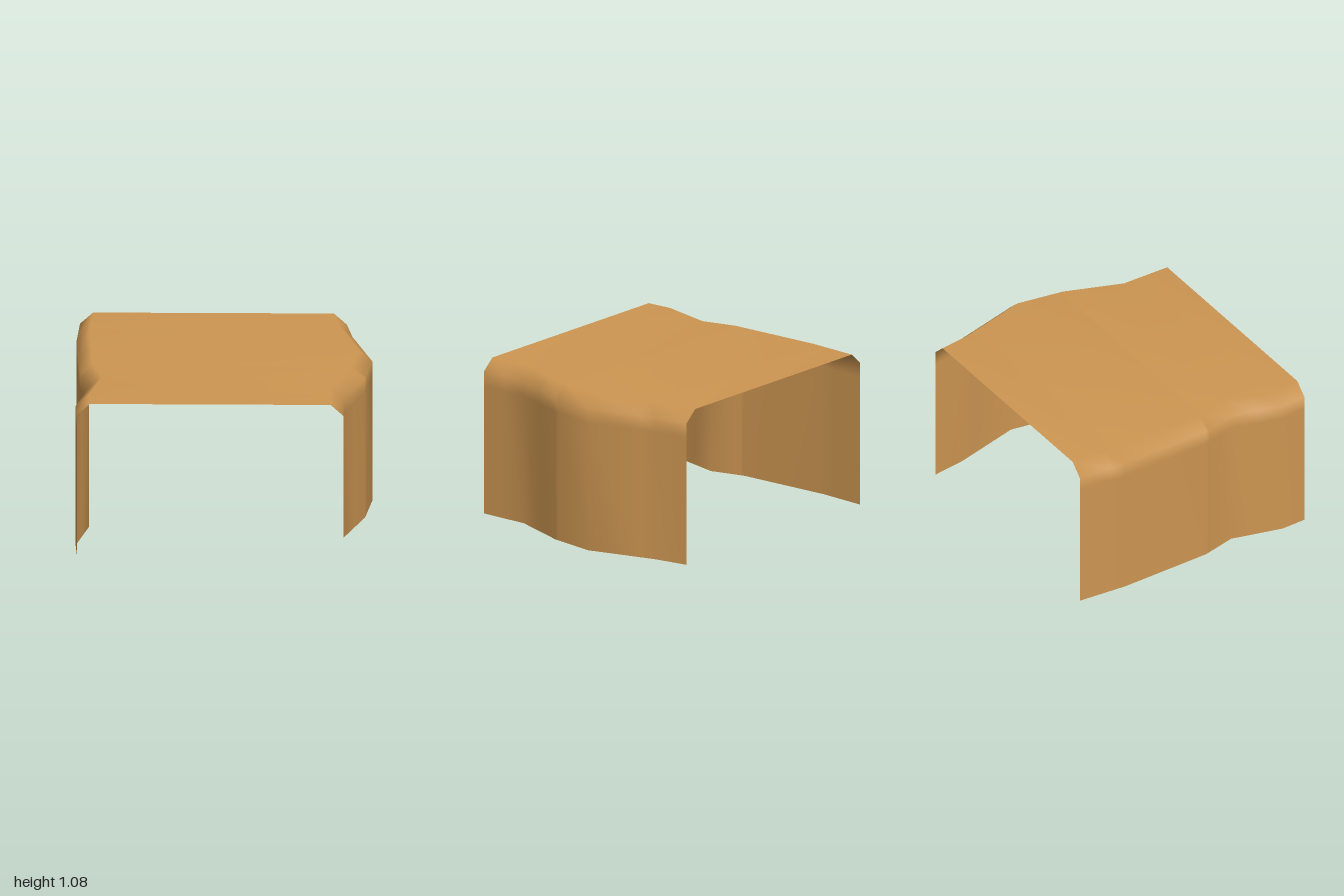
import * as THREE from 'three';

// Plan outlines of the two side walls as [z, x]
const RIGHT_WALL = [[-0.9, -0.98], [-0.55, -1], [0.12, -0.97], [0.36, -0.905], [0.72, -0.99], [0.9, -0.98]];
const LEFT_WALL = [[-0.9, 0.82], [-0.66, 0.86], [-0.18, 1], [0.15, 0.955], [0.55, 0.815], [0.9, 0.82]];
const BEVEL = 0.088, EAVE = 1, TOP = 1.08;

// x of a wall at depth z
function wallX(line, z) {
  for (let i = 1; i < line.length; i++) {
    const [z0, x0] = line[i - 1], [z1, x1] = line[i];
    if (z <= z1) return x0 + (x1 - x0) * (z - z0) / (z1 - z0);
  }
  return line[line.length - 1][1];
}

// Cross-section at depth z: up one wall, over the roof, down the other
function section(z) {
  const r = wallX(RIGHT_WALL, z), l = wallX(LEFT_WALL, z);
  return [
    [r, 0], [r, 0.9], [r, EAVE], [r + BEVEL, TOP],
    [l - BEVEL, TOP], [l, EAVE], [l, 0.9], [l, 0],
  ];
}

function loft(stations) {
  const positions = [], index = [];
  const n = section(0).length;
  stations.forEach((z, j) => {
    for (const [x, y] of section(z)) positions.push(x, y, z);
    if (j === stations.length - 1) return;
    for (let i = 0; i < n - 1; i++) {
      const a = j * n + i;
      index.push(a, a + n, a + 1, a + 1, a + n, a + n + 1);
    }
  });
  const geometry = new THREE.BufferGeometry();
  geometry.setAttribute('position', new THREE.Float32BufferAttribute(positions, 3));
  geometry.setIndex(index);
  geometry.computeVertexNormals();
  return geometry;
}

export function createModel() {
  const group = new THREE.Group();
  group.name = 'openShelter';

  const tan = new THREE.MeshStandardMaterial({ color: 0xcd9652, side: THREE.DoubleSide });
  tan.name = 'tan';

  // One section at every bend of either wall
  const stations = [...new Set([...RIGHT_WALL, ...LEFT_WALL].map(([z]) => z))].sort((a, b) => a - b);
  const shell = new THREE.Mesh(loft(stations), tan);
  shell.name = 'wallsAndRoof';
  group.add(shell);
  return group;
}
